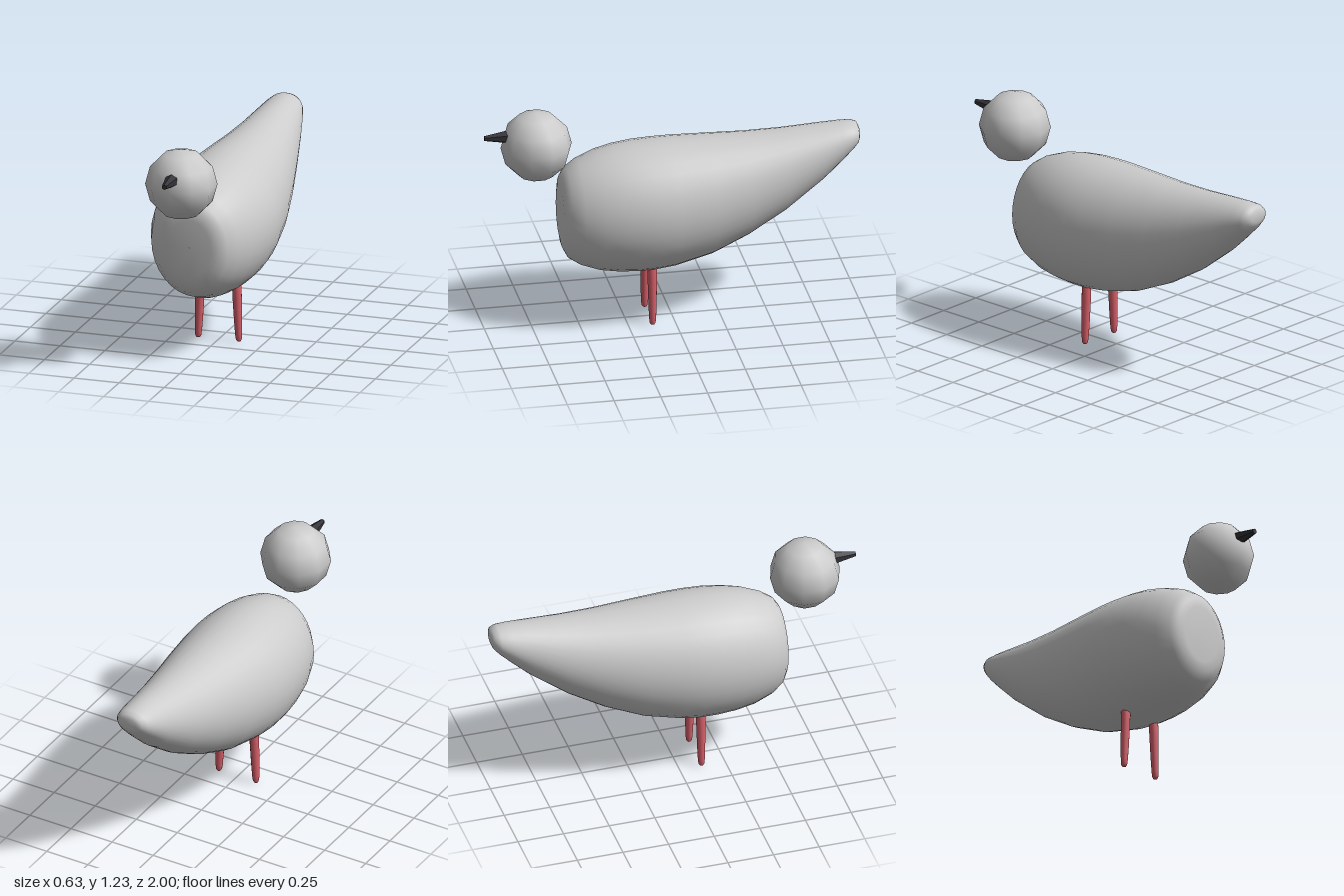
import * as THREE from 'three';

const grey = new THREE.MeshStandardMaterial({ color: 0xcccccc });
const dark = new THREE.MeshStandardMaterial({ color: 0x333338, flatShading: true });
const red = new THREE.MeshStandardMaterial({ color: 0xd8606a });

// Smooth closed body from elliptical sections: [z, bottom, top, half width]
function loft(sections, sides) {
  const pos = [], idx = [];
  for (const [z, bottom, top, rx] of sections) {
    const cy = (top + bottom) / 2, ry = (top - bottom) / 2;
    for (let i = 0; i < sides; i++) {
      const a = (i / sides) * Math.PI * 2;
      pos.push(Math.cos(a) * rx, cy + Math.sin(a) * ry, z);
    }
  }
  for (let s = 0; s < sections.length - 1; s++) {
    for (let i = 0; i < sides; i++) {
      const j = (i + 1) % sides;
      const a = s * sides + i, b = s * sides + j, c = a + sides, d = b + sides;
      idx.push(a, c, b, b, c, d);
    }
  }
  const geo = new THREE.BufferGeometry();
  geo.setAttribute('position', new THREE.Float32BufferAttribute(pos, 3));
  geo.setIndex(idx);
  geo.computeVertexNormals();
  return geo;
}

function addMesh(parent, name, geometry, material) {
  const mesh = new THREE.Mesh(geometry, material);
  mesh.name = name;
  parent.add(mesh);
  return mesh;
}

export function createModel() {
  const model = new THREE.Group();
  model.name = 'bird';

  // Body: blunt breast, tapering up to the tail
  addMesh(model, 'body', loft([
    [0.595, 0.649, 0.651, 0.001],
    [0.595, 0.49, 0.80, 0.12],
    [0.585, 0.44, 0.85, 0.165],
    [0.56, 0.39, 0.89, 0.20],
    [0.50, 0.35, 0.93, 0.243],
    [0.40, 0.315, 0.97, 0.28],
    [0.30, 0.30, 0.993, 0.302],
    [0.20, 0.295, 1.005, 0.314],
    [0.10, 0.298, 1.01, 0.317],
    [0.00, 0.31, 1.012, 0.31],
    [-0.20, 0.36, 1.01, 0.28],
    [-0.40, 0.45, 1.008, 0.237],
    [-0.60, 0.57, 1.015, 0.19],
    [-0.80, 0.725, 1.029, 0.142],
    [-0.90, 0.82, 1.034, 0.116],
    [-0.96, 0.88, 1.033, 0.096],
    [-0.99, 0.915, 1.023, 0.075],
    [-1.00, 0.94, 1.0, 0.045],
    [-1.00, 0.969, 0.971, 0.001],
  ], 32), grey);

  // Head: coarse round ball, floating ahead of the body
  const headGeo = new THREE.SphereGeometry(0.19, 10, 6).rotateY(Math.PI / 2);
  addMesh(model, 'head', headGeo, grey).position.set(0, 1.042, 0.723);

  // Beak: blunt six-sided cone
  const beakGeo = new THREE.CylinderGeometry(0.014, 0.038, 0.13, 6).rotateX(Math.PI / 2);
  addMesh(model, 'beak', beakGeo, dark).position.set(0, 1.106, 0.935);

  // Legs: tapered pegs with rounded feet, splayed slightly outwards
  const legProfile = [[0, 0], [0.01, 0.002], [0.016, 0.012], [0.019, 0.04], [0.022, 0.12],
    [0.025, 0.25], [0.025, 0.36], [0.015, 0.38], [0, 0.382]].map(([r, y]) => new THREE.Vector2(r, y));
  const legGeo = new THREE.LatheGeometry(legProfile, 12);
  for (const side of [1, -1]) {
    const leg = addMesh(model, side > 0 ? 'leftLeg' : 'rightLeg', legGeo, red);
    leg.position.set(side * 0.113, 0.003, 0.122);
    leg.rotation.z = side * 0.04;
  }
  return model;
}
